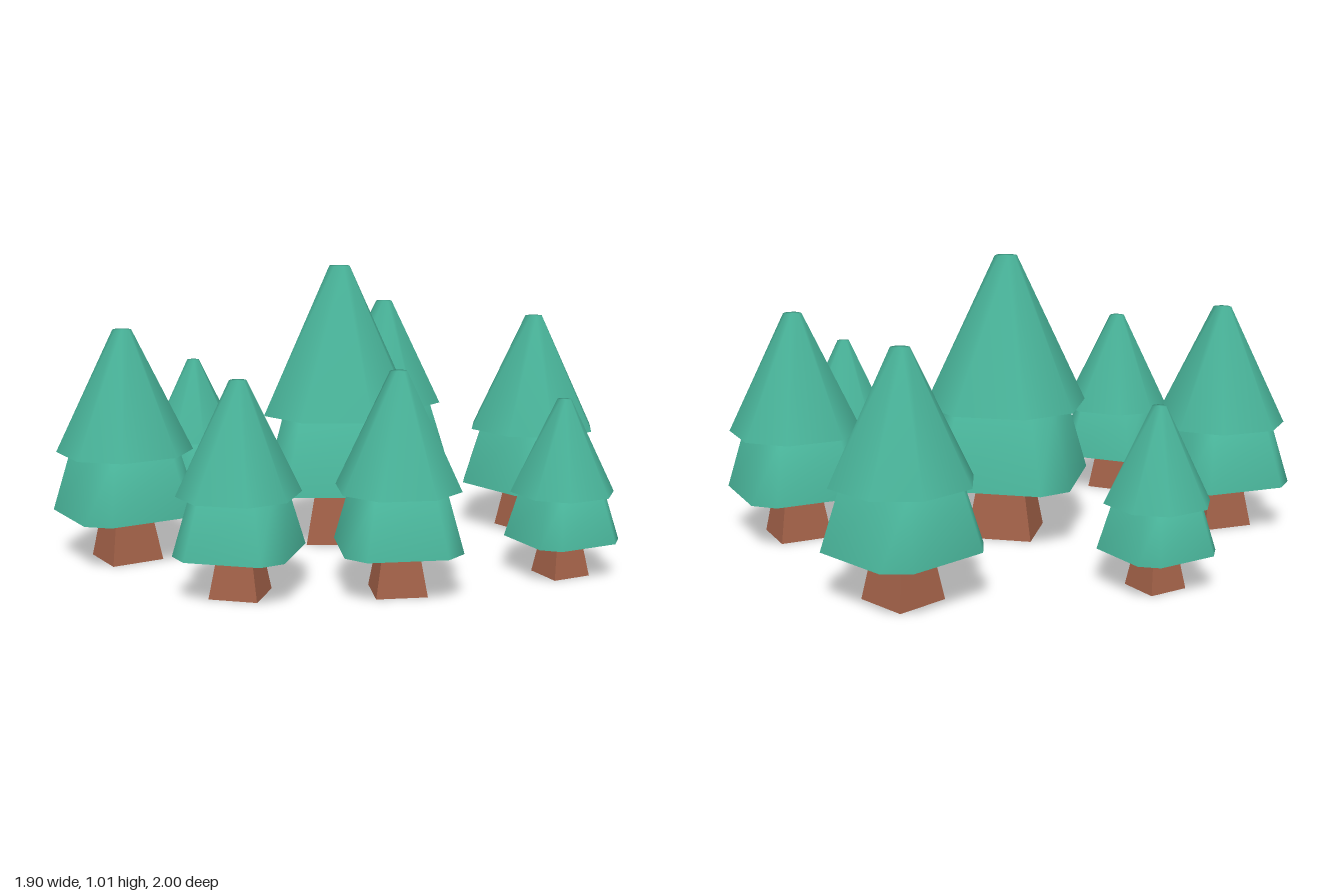
import * as THREE from 'three';

// Outline of a square with cut corners: h = half width, s = half length of a straight side
function cutSquare(h, s, y) {
  return [[h, s], [s, h], [-s, h], [-h, s], [-h, -s], [-s, -h], [s, -h], [h, -s]]
    .map(([x, z]) => [x, y, z]);
}

// Tapered foliage tier: smooth sides and top, with a crisp flat underside
function tierGeometry(bottom, top) {
  const n = bottom.length;
  const yBottom = bottom[0][1], yTop = top[0][1];
  const points = [...bottom, ...top, [0, yTop, 0], ...bottom, [0, yBottom, 0]];
  const topCentre = 2 * n, under = 2 * n + 1, underCentre = 3 * n + 1;
  const index = [];
  for (let i = 0; i < n; i++) {
    const j = (i + 1) % n;
    index.push(i, n + i, j, j, n + i, n + j);
    index.push(topCentre, n + j, n + i);
    index.push(underCentre, under + i, under + j);
  }
  const geometry = new THREE.BufferGeometry();
  geometry.setAttribute('position', new THREE.Float32BufferAttribute(points.flat(), 3));
  geometry.setIndex(index);
  geometry.computeVertexNormals();
  return geometry;
}

// Square tapered trunk with flat faces
function trunkGeometry(baseHalf, topHalf, height) {
  const r = Math.SQRT2;
  const geometry = new THREE.CylinderGeometry(topHalf * r, baseHalf * r, height, 4)
    .rotateY(Math.PI / 4).translate(0, height / 2, 0).toNonIndexed();
  geometry.computeVertexNormals();
  return geometry;
}

export function createModel() {
  const foliage = new THREE.MeshStandardMaterial({ color: 0x48b298 });
  foliage.name = 'foliage green';
  const bark = new THREE.MeshStandardMaterial({ color: 0xa26148 });
  bark.name = 'bark brown';

  // Parts of a tree one unit tall
  const parts = [
    ['trunk', trunkGeometry(0.116, 0.08, 0.22), bark],
    ['lowerFoliage', tierGeometry(cutSquare(0.265, 0.179, 0.21), cutSquare(0.195, 0.13, 0.485)), foliage],
    ['upperFoliage', tierGeometry(cutSquare(0.265, 0.124, 0.475), cutSquare(0.036, 0.017, 1)), foliage],
  ];

  // name, x, z, height, turn in degrees
  const trees = [
    ['centreTree', 0.02, -0.07, 1.01, -39.7],
    ['backTree', 0.005, -0.84, 0.6, 5],
    ['backRightTree', -0.675, -0.458, 0.81, 17],
    ['backLeftTree', 0.72, -0.44, 0.81, -7],
    ['rightTree', -0.722, 0.156, 0.7, -27.6],
    ['frontRightTree', -0.362, 0.519, 0.725, 41],
    ['frontLeftTree', 0.638, 0.36, 0.81, 11.5],
    ['frontTree', 0.159, 0.807, 0.6, 22],
  ];

  const model = new THREE.Group();
  model.name = 'treeCluster';
  for (const [name, x, z, height, turn] of trees) {
    const tree = new THREE.Group();
    tree.name = name;
    for (const [partName, geometry, material] of parts) {
      const mesh = new THREE.Mesh(geometry, material);
      mesh.name = partName;
      tree.add(mesh);
    }
    tree.position.set(x, 0, z);
    tree.rotation.y = -THREE.MathUtils.degToRad(turn);
    tree.scale.setScalar(height);
    model.add(tree);
  }
  return model;
}
